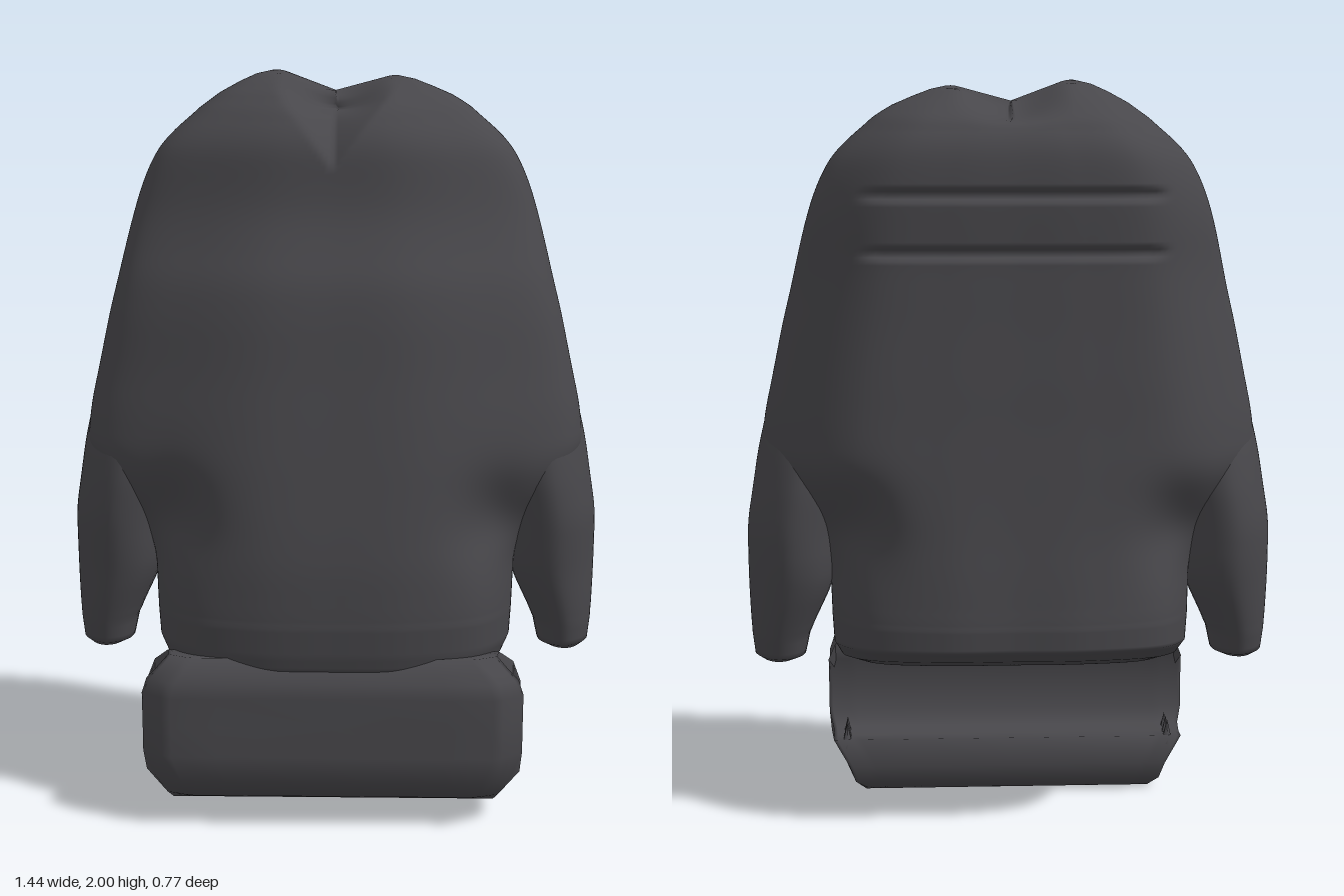
import * as THREE from 'three';

const fabric = new THREE.MeshStandardMaterial({ color: 0x48474b, side: THREE.DoubleSide });
fabric.name = 'charcoal fabric';

const { clamp, lerp, smoothstep } = THREE.MathUtils;

// Linear lookup in rows of [key, a, b, ...]
function sample(rows, key) {
  let i = 0;
  while (i < rows.length - 2 && key > rows[i + 1][0]) i++;
  const t = clamp((key - rows[i][0]) / (rows[i + 1][0] - rows[i][0]), 0, 1);
  return rows[i].map((v, k) => lerp(v, rows[i + 1][k], t));
}

// The same lookup averaged over a short span, for soft transitions
function softSample(rows, key, span) {
  const [a, b, c, d, e] = [-1, -0.5, 0, 0.5, 1].map((o) => sample(rows, key + o * span));
  return c.map((v, k) => (a[k] + 2 * b[k] + 2 * v + 2 * d[k] + e[k]) / 8);
}

// Closed skin through rings of points, with a fan over each end
function loft(rings, startCentre, endCentre) {
  const n = rings[0].length, m = rings.length;
  const mid = (r) => r.reduce((s, p) => s.add(p), new THREE.Vector3()).divideScalar(n);
  const points = [...rings.flat(), startCentre || mid(rings[0]), endCentre || mid(rings[m - 1])];
  const index = [];
  for (let i = 0; i < n; i++) {
    const k = (i + 1) % n;
    for (let j = 0; j < m - 1; j++) {
      const a = j * n + i, b = j * n + k;
      index.push(a, b, b + n, a, b + n, a + n);
    }
    index.push(m * n, k, i, m * n + 1, (m - 1) * n + i, (m - 1) * n + k);
  }
  const g = new THREE.BufferGeometry().setFromPoints(points);
  g.setIndex(index);
  g.computeVertexNormals();
  return g;
}

// Smooth closed outline from the right half (front centre to back centre)
function outline(half, count) {
  const left = half.slice(1, -1).reverse().map(([x, z]) => [-x, z]);
  const pts = [...half, ...left].map(([x, z]) => new THREE.Vector3(x, 0, z));
  const curve = new THREE.CatmullRomCurve3(pts, true, 'centripetal');
  return Array.from({ length: count }, (_, i) => curve.getPoint(i / count));
}

// Body: [y, half width, front z, back z, squareness]
const bodyRows = [
  [0.41, 0.42, 0.33, -0.24, 0.8], [0.43, 0.465, 0.36, -0.32, 0.8], [0.47, 0.485, 0.37, -0.375, 0.8],
  [0.55, 0.49, 0.38, -0.38, 0.8], [0.7, 0.495, 0.38, -0.372, 0.7], [0.8, 0.53, 0.37, -0.364, 0.5],
  [0.9, 0.62, 0.357, -0.359, 0.2], [0.98, 0.682, 0.347, -0.356, 0], [1.1, 0.67, 0.33, -0.35, 0],
  [1.2, 0.648, 0.315, -0.348, 0], [1.35, 0.617, 0.297, -0.342, 0],
  [1.45, 0.592, 0.277, -0.34, 0], [1.53, 0.574, 0.24, -0.338, 0], [1.62, 0.552, 0.205, -0.345, 0.1],
  [1.7, 0.528, 0.192, -0.35, 0.1], [1.77, 0.497, 0.187, -0.348, 0.1], [1.82, 0.465, 0.177, -0.342, 0.1],
  [1.86, 0.415, 0.152, -0.325, 0.1], [1.9, 0.37, 0.117, -0.285, 0.1], [1.94, 0.315, 0.07, -0.222, 0.1],
  [1.97, 0.26, 0.022, -0.168, 0.1], [1.99, 0.215, -0.02, -0.125, 0.1], [2.0, 0.17, -0.055, -0.095, 0.1],
];
const tapered = outline([[0, 1], [0.32, 0.98], [0.64, 0.79], [0.92, 0.5], [1, 0.04],
  [0.92, -0.44], [0.63, -0.93], [0.3, -1], [0, -1]], 216);
const boxy = outline([[0, 1], [0.45, 0.97], [0.8, 0.82], [0.95, 0.5], [1, 0.05],
  [0.97, -0.45], [0.82, -0.8], [0.4, -1], [0, -1]], 216);

function bodyGeometry() {
  const rings = [];
  for (let s = 0; s <= 159; s++) {
    const h = 0.41 + s * 0.01;
    const [y, w, f, b, sq] = softSample(bodyRows, h, h > 0.55 && h < 1.88 ? 0.045 : 0);
    rings.push(tapered.map((p, i) => {
      const q = p.clone().lerp(boxy[i], sq);
      const v = new THREE.Vector3(q.x * w, y, (f + b) / 2 + q.z * (f - b) / 2);
      const ax = Math.abs(v.x);
      // Soft hollows where the sleeves leave the torso
      v.z *= 1 - 0.2 * Math.exp(-(((ax - 0.44) / 0.1) ** 2) - ((y - 0.82) / 0.12) ** 2);
      // Two pressed seams across the upper back
      if (q.z < -0.5) {
        for (const seam of [1.55, 1.7]) {
          v.z += 0.025 * Math.max(0, 1 - Math.abs(y - seam) / 0.02) * (1 - smoothstep(ax, 0.34, 0.42));
        }
      }
      // V-shaped neck hollow and dip between the two collar peaks
      const open = 0.16 * (y - 1.74) / 0.22;
      if (q.z > 0 && ax < open) v.z -= 0.9 * (open - ax) * clamp((2 - y) / 0.07, 0, 1);
      v.y -= 0.055 * Math.max(0, 1 - (ax / 0.16) ** 2) ** 2 * smoothstep(y, 1.86, 1.98);
      if (v.x > 0) v.y -= 0.015 * smoothstep(y, 1.9, 2);
      // Underside rises toward the back
      v.y += 0.05 * clamp(-v.z / 0.38, 0, 1) * clamp((0.62 - y) / 0.2, 0, 1);
      return v;
    }));
  }
  return loft(rings, undefined, new THREE.Vector3(0, 1.945, -0.08));
}

// Sleeve: [y, centre x, half width, front z, back z], merging into the body above the elbow
const sleeveRows = [
  [0.42, 0.64, 0.045, 0.07, -0.08], [0.435, 0.635, 0.07, 0.1, -0.12], [0.5, 0.632, 0.081, 0.12, -0.145],
  [0.58, 0.615, 0.102, 0.145, -0.175], [0.64, 0.602, 0.117, 0.16, -0.195], [0.7, 0.598, 0.122, 0.175, -0.21],
  [0.8, 0.596, 0.125, 0.195, -0.22], [0.9, 0.58, 0.125, 0.205, -0.22], [1.0, 0.563, 0.127, 0.2, -0.205],
  [1.1, 0.54, 0.127, 0.18, -0.18], [1.2, 0.515, 0.127, 0.16, -0.15], [1.35, 0.47, 0.127, 0.14, -0.12],
];
const sleeveOutline = [[0, 1], [0.5, 0.8], [0.84, 0.43], [1, 0], [0.84, -0.43], [0.5, -0.8], [0, -1],
  [-0.6, -0.85], [-0.95, -0.4], [-0.95, 0.4], [-0.6, 0.85]];

function sleeveGeometry(side) {
  const curve = new THREE.CatmullRomCurve3(
    sleeveOutline.map(([x, z]) => new THREE.Vector3(x, 0, z)), true, 'centripetal');
  const section = curve.getPoints(48).slice(0, -1);
  if (side < 0) section.reverse();
  const rings = [];
  for (let s = 0; s <= 62; s++) {
    const h = 0.42 + s * 0.015;
    const [y, cx, w, f, b] = softSample(sleeveRows, h, h > 0.5 && h < 1.3 ? 0.04 : 0);
    rings.push(section.map((q) => new THREE.Vector3(
      side * (cx + q.x * w), y, (f + b) / 2 + q.z * (f - b) / 2)));
  }
  return loft(rings);
}

// Curled lower flap: side profile [z, y], running down the front and up the inside
const flapProfile = [[0.34, 0.46], [0.36, 0.425], [0.382, 0.4], [0.388, 0.36], [0.383, 0.28], [0.388, 0.2],
  [0.38, 0.13], [0.33, 0.075], [0.25, 0.045], [0.18, 0.03], [0.1, 0.003], [0.06, 0.035], [0.05, 0.08],
  [0.05, 0.16], [0.1, 0.16], [0.16, 0.17], [0.19, 0.21], [0.2, 0.28], [0.195, 0.36], [0.17, 0.41], [0.22, 0.45]];
const flapWidth = [[0, 0.4], [0.03, 0.43], [0.1, 0.455], [0.14, 0.485], [0.2, 0.508], [0.38, 0.51],
  [0.41, 0.49], [0.43, 0.465], [0.46, 0.44]];

function flapGeometry() {
  const rings = [-1, -0.98, -0.94, -0.89, -0.84, -0.6, 0, 0.6, 0.84, 0.89, 0.94, 0.98, 1].map((u) => {
    const end = clamp((Math.abs(u) - 0.86) / 0.14, 0, 1);
    return flapProfile.map(([z, y]) => {
      const pull = z > 0.28 ? (z - 0.28) * end * 0.6 : 0;
      return new THREE.Vector3(u * sample(flapWidth, y)[1], y, z - pull);
    });
  });
  const centre = (s) => new THREE.Vector3(s * 0.505, 0.13, 0.27);
  return loft(rings, centre(-1), centre(1));
}

export function createModel() {
  const group = new THREE.Group();
  group.name = 'garment';
  const add = (name, geometry) => {
    const mesh = new THREE.Mesh(geometry, fabric);
    mesh.name = name;
    group.add(mesh);
    return mesh;
  };
  add('body', bodyGeometry());
  add('leftSleeve', sleeveGeometry(1));
  add('rightSleeve', sleeveGeometry(-1));
  add('lowerFlap', flapGeometry());
  // Ragged points on both ends of the flap's inner lip
  for (const side of [-1, 1]) {
    for (const z of [0.065, 0.1, 0.14]) {
      add('raggedPoint', new THREE.ConeGeometry(0.018, 0.07, 6)).position.set(side * 0.455, 0.17, z);
    }
  }
  return group;
}
